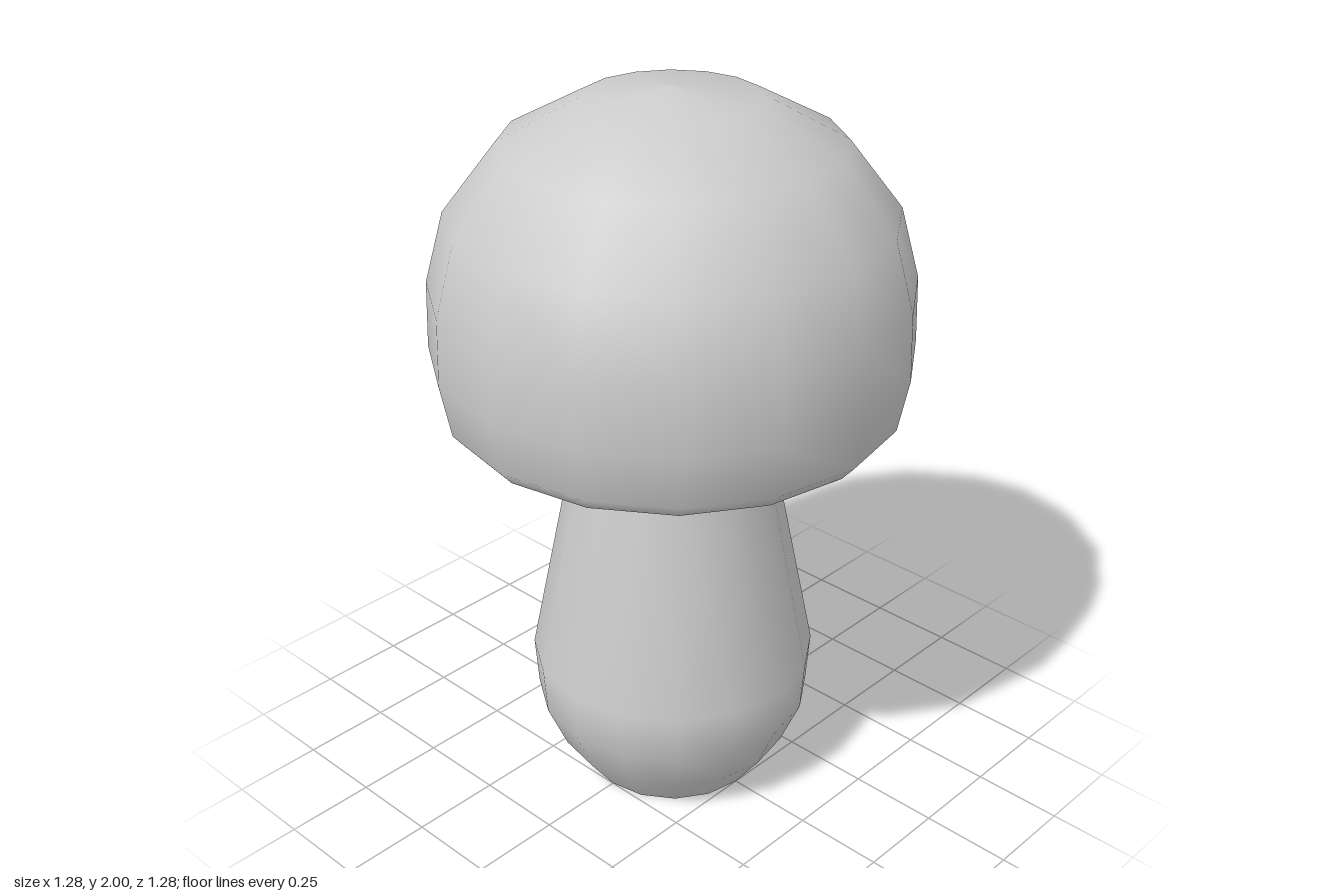
import * as THREE from 'three';

const SIDES = 16;

export function createModel() {
  const model = new THREE.Group();
  model.name = 'mushroom';
  const material = new THREE.MeshStandardMaterial({ color: 0xcccccc });

  const add = (name, geometry) => {
    const mesh = new THREE.Mesh(geometry, material);
    mesh.name = name;
    model.add(mesh);
    return mesh;
  };
  // Profiles run from bottom to top as [radius, height]
  const lathe = (profile) =>
    new THREE.LatheGeometry(profile.map(([r, y]) => new THREE.Vector2(r, y)), SIDES);

  // Bulbous stem tapering up into the cap
  add('stem', lathe([
    [0.25, 0], [0.33, 0.11], [0.385, 0.24], [0.395, 0.38], [0.25, 1.105],
  ]));

  // Flat foot closing the stem with a crisp edge
  const foot = add('stemBase', new THREE.CircleGeometry(0.25, SIDES));
  foot.rotation.x = Math.PI / 2;

  // Domed cap with a flat underside and a rounded rim
  add('cap', lathe([
    [0.25, 1.105], [0.515, 1.105], [0.575, 1.125], [0.61, 1.165], [0.638, 1.31],
    [0.632, 1.49], [0.58, 1.68], [0.44, 1.86], [0.235, 1.97], [0, 2],
  ]));

  return model;
}
